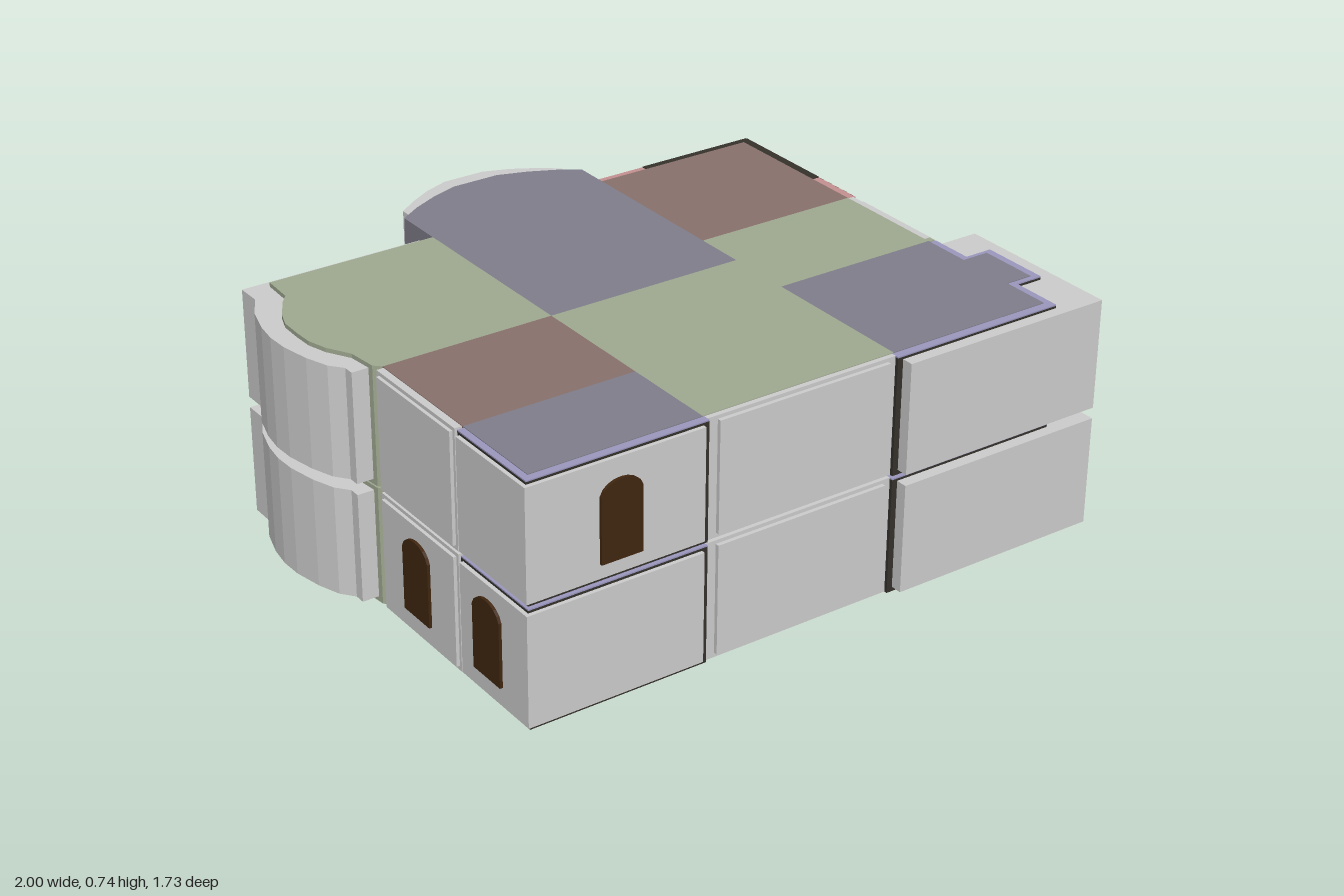
import * as THREE from 'three';

const mat = (name, color) => {
  const m = new THREE.MeshStandardMaterial({ color });
  m.name = name;
  return m;
};

export function createModel() {
  const model = new THREE.Group();
  model.name = 'building';

  const white = mat('wall grey', 0xcccccc);
  const green = mat('room green', 0x9fa890);
  const blue = mat('room blue', 0x7e7d8a);
  const red = mat('room red', 0x88706c);
  const pink = mat('plaster pink', 0xc49090);
  const lilac = mat('rim lilac', 0x9a97be);
  const dark = mat('trim dark', 0x35312b);
  const brown = mat('door brown', 0x402610);

  const FLOORS = [0, 0.37];

  // Upright prism over a plan outline of [x, z] corners
  const prism = (parent, name, plan, y0, y1, material) => {
    const shape = new THREE.Shape(plan.map(([x, z]) => new THREE.Vector2(x, -z)));
    const geo = new THREE.ExtrudeGeometry(shape, { depth: y1 - y0, bevelEnabled: false });
    geo.rotateX(-Math.PI / 2);
    const mesh = new THREE.Mesh(geo, material);
    mesh.name = name;
    mesh.position.y = y0;
    parent.add(mesh);
  };
  const rect = (x0, x1, z0, z1) => [[x0, z0], [x1, z0], [x1, z1], [x0, z1]];

  // Room plans
  const rooms = [
    ['bayRoomLeft', green, [
      [-0.32, -0.52], [-0.85, -0.52], [-0.855, -0.42], [-0.88, -0.39], [-0.92, -0.32], [-0.938, -0.27],
      [-0.94, -0.2], [-0.938, -0.14], [-0.92, -0.08], [-0.88, -0.01], [-0.87, 0.08], [-0.85, 0.1], [-0.32, 0.1]]],
    ['bayRoomBack', blue, [
      [-0.32, 0.1], [-0.32, -0.68], [-0.25, -0.725], [-0.17, -0.763], [-0.08, -0.793],
      [0.07, -0.793], [0.16, -0.763], [0.24, -0.725], [0.305, -0.68], [0.305, 0.1]]],
    ['hall', green, rect(-0.32, 0.305, 0.1, 0.8)],
    ['sideHall', green, rect(0.305, 0.835, -0.06, 0.31)],
    ['backRightRoom', red, rect(0.305, 0.835, -0.575, -0.06)],
    ['leftRoom', red, rect(-0.85, -0.32, 0.1, 0.5)],
    ['frontLeftRoom', blue, rect(-0.85, -0.32, 0.5, 0.8)],
    ['frontRightRoom', blue, [
      [0.305, 0.31], [0.835, 0.31], [0.835, 0.465], [0.92, 0.465], [0.92, 0.65],
      [0.835, 0.65], [0.835, 0.8], [0.305, 0.8]]],
  ];

  // Trim shells standing just outside the rooms, with their cap colour
  const shells = [
    ['frontLeftTrim', rect(-0.87, -0.315, 0.505, 0.823), dark, lilac],
    ['frontRightTrim', [
      [0.3, 0.315], [0.858, 0.315], [0.858, 0.45], [0.945, 0.45], [0.945, 0.665],
      [0.858, 0.665], [0.858, 0.825], [0.3, 0.825]], dark, lilac],
    ['hallTrim', rect(-0.315, 0.3, 0.75, 0.815), white, white],
    ['sideHallTrim', rect(0.8, 0.855, -0.06, 0.29), white, white],
    ['leftRoomTrim', rect(-0.872, -0.8, 0.105, 0.495), white, white],
    ['sideHallReturn', rect(0.8, 0.857, 0.29, 0.31), green, green],
  ];

  // Outer wall panels
  const walls = [
    ['leftBayWall', [
      [-0.35, -0.547], [-0.923, -0.547], [-0.923, -0.47], [-0.965, -0.395], [-0.99, -0.31], [-1, -0.24],
      [-0.998, -0.17], [-0.98, -0.08], [-0.955, -0.01], [-0.923, 0.03], [-0.923, 0.063], [-0.85, 0.063], [-0.35, 0.063]]],
    ['backBayWall', [
      [-0.283, -0.6], [-0.283, -0.75], [-0.22, -0.795], [-0.15, -0.835], [-0.07, -0.865],
      [0.065, -0.865], [0.145, -0.835], [0.215, -0.795], [0.275, -0.75], [0.275, -0.6]]],
    ['frontRightWall', rect(0.318, 0.997, 0.325, 0.86)],
    ['frontLeftWall', rect(-0.882, -0.333, 0.515, 0.835)],
    ['hallWall', rect(-0.283, 0.275, 0.75, 0.827)],
    ['sideHallWall', rect(0.8, 0.875, -0.035, 0.275)],
    ['leftRoomWall', rect(-0.882, -0.8, 0.12, 0.485)],
    ['backRightWall', rect(0.8, 0.868, -0.588, -0.08)],
  ];

  FLOORS.forEach((y, i) => {
    const floor = new THREE.Group();
    floor.name = i ? 'upperFloor' : 'lowerFloor';
    floor.position.y = y;
    model.add(floor);

    rooms.forEach(([name, m, plan]) => prism(floor, name, plan, 0, 0.365, m));
    shells.forEach(([name, plan, m, cap]) => {
      prism(floor, name, plan, 0.002, 0.359, m);
      prism(floor, name + 'Cap', plan, 0.359, 0.363, cap);
    });
    walls.forEach(([name, plan]) => prism(floor, name, plan, 0.016, 0.352, white));

    // Two-tone outer walls of the back right room
    const back = rect(0.305, 0.862, -0.6, -0.57);
    prism(floor, 'backWallLower', back, 0.002, 0.208, dark);
    prism(floor, 'backWallUpper', back, 0.208, 0.361, pink);
    prism(floor, 'backWallCap', rect(0.47, 0.862, -0.6, -0.57), 0.361, 0.363, dark);
    prism(floor, 'sideWallLower', rect(0.83, 0.864, -0.595, -0.06), 0.002, 0.208, dark);
    prism(floor, 'sideWallUpper', rect(0.83, 0.864, -0.595, -0.06), 0.208, 0.361, pink);
    prism(floor, 'sideWallCap', rect(0.83, 0.864, -0.595, -0.235), 0.361, 0.363, dark);
    prism(floor, 'sideWallTrim', rect(0.83, 0.866, -0.585, -0.075), 0.002, 0.36, dark);
  });

  // Arched doors
  const arch = new THREE.Shape();
  arch.moveTo(-0.064, 0);
  arch.lineTo(0.064, 0);
  arch.lineTo(0.064, 0.195);
  arch.bezierCurveTo(0.05, 0.248, -0.05, 0.248, -0.064, 0.195);
  arch.closePath();
  const doorGeo = new THREE.ExtrudeGeometry(arch, { depth: 0.009, bevelEnabled: false, curveSegments: 8 });
  const door = (name, x, y, z, turn) => {
    const mesh = new THREE.Mesh(doorGeo, brown);
    mesh.name = name;
    mesh.position.set(x, y, z);
    mesh.rotation.y = turn;
    model.add(mesh);
  };
  door('frontDoor', -0.597, 0.43, 0.835, 0);
  door('sideDoor', 0.875, 0.43, 0.117, Math.PI / 2);
  door('leftDoorBack', -0.882, 0.075, 0.3, -Math.PI / 2);
  door('leftDoorFront', -0.882, 0.075, 0.65, -Math.PI / 2);

  return model;
}
